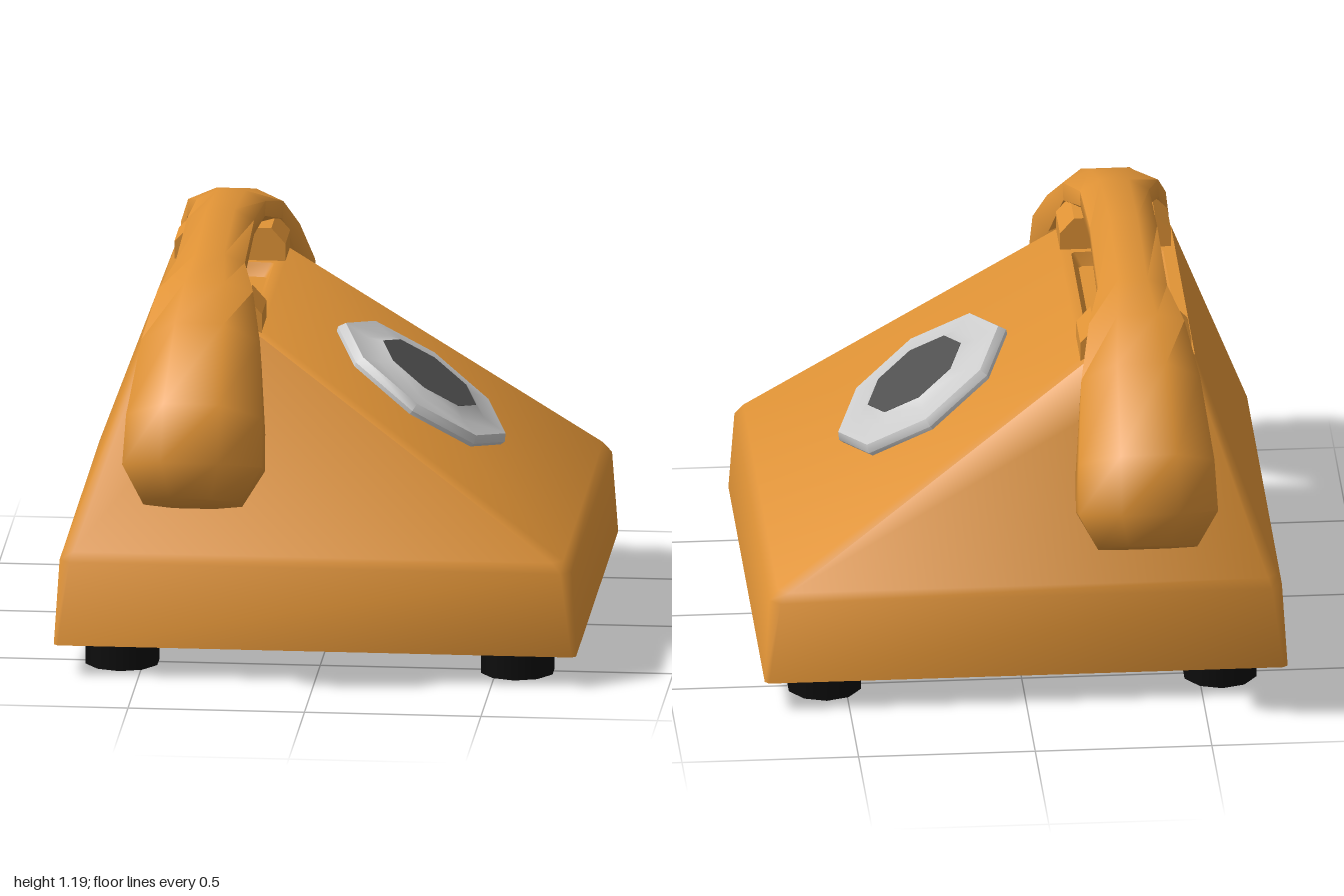
import * as THREE from 'three';
import { toCreasedNormals } from 'three/addons/utils/BufferGeometryUtils.js';

const material = (color) => new THREE.MeshStandardMaterial({ color });
const ORANGE = material(0xe09336);
const GREY = material(0xcccccc);
const DARK = material(0x505050);
const BLACK = material(0x0c0c0c);

// Skin a list of equal-length rings (counter-clockwise seen from the loft's end) and cap both ends.
function loft(rings, crease) {
  const pos = [];
  const tri = (...pts) => pts.forEach((p) => pos.push(p[0], p[1], p[2]));
  const n = rings[0].length;
  for (let i = 0; i < rings.length - 1; i++) {
    for (let j = 0; j < n; j++) {
      const k = (j + 1) % n;
      const a = rings[i][j], b = rings[i][k], c = rings[i + 1][k], d = rings[i + 1][j];
      tri(a, b, c);
      tri(a, c, d);
    }
  }
  const first = rings[0], last = rings[rings.length - 1];
  for (let j = 1; j < n - 1; j++) {
    tri(first[0], first[j + 1], first[j]);
    tri(last[0], last[j], last[j + 1]);
  }
  const geometry = new THREE.BufferGeometry();
  geometry.setAttribute('position', new THREE.Float32BufferAttribute(pos, 3));
  return toCreasedNormals(geometry, crease);
}

function add(parent, name, geometry, mat) {
  const mesh = new THREE.Mesh(geometry, mat);
  mesh.name = name;
  parent.add(mesh);
  return mesh;
}

// Horizontal rectangle with cut corners.
function bodyRing([y, x0, x1, z, c]) {
  return [
    [x1, y, z - c], [x1, y, -z + c], [x1 - c, y, -z], [x0 + c, y, -z],
    [x0, y, -z + c], [x0, y, z - c], [x0 + c, y, z], [x1 - c, y, z],
  ];
}

function buildBody() {
  // y, left x, right x, half depth, corner cut; the last rings form the trough on top
  const levels = [
    [0.09, -0.74, 0.74, 0.68, 0.012],
    [0.33, -0.726, 0.725, 0.67, 0.03],
    [0.36, -0.715, 0.70, 0.662, 0.03],
    [0.96, -0.495, -0.17, 0.46, 0.02],
    [0.96, -0.46, -0.20, 0.28, 0.01],
    [0.92, -0.44, -0.22, 0.27, 0.01],
  ];
  return loft(levels.map(bodyRing), 1.0);
}

const HANDSET_X = -0.327;

function buildHandset() {
  // top z, top y, bottom z, bottom y, half width, from the middle to one end
  const half = [
    [0, 1.19, 0, 1.09, 0.095],
    [0.34, 1.153, 0.30, 1.06, 0.098],
    [0.5, 1.115, 0.44, 1.01, 0.135],
    [0.67, 1.04, 0.54, 0.83, 0.168],
    [0.93, 0.874, 0.65, 0.68, 0.192],
    [1.0, 0.72, 0.72, 0.617, 0.197],
    [0.955, 0.605, 0.85, 0.547, 0.14],
  ];
  const mirrored = half.slice(1).reverse().map(([tz, ty, bz, by, w]) => [-tz, ty, -bz, by, w]);
  const rings = [...mirrored, ...half].map(([tz, ty, bz, by, w]) => {
    const ring = [];
    for (let k = 0; k < 8; k++) {
      const a = ((k + 0.5) * Math.PI) / 4;
      const u = Math.cos(a) / Math.cos(Math.PI / 8);
      const t = 0.5 + (0.5 * Math.sin(a)) / Math.cos(Math.PI / 8);
      ring.push([HANDSET_X + u * w, by + (ty - by) * t, bz + (tz - bz) * t]);
    }
    return ring;
  });
  return loft(rings, 1.1);
}

// Saddle block that carries the handset, with slightly chamfered shoulders.
function buildCradle(side) {
  const shape = new THREE.Shape([
    [-0.485, 0.93], [-0.17, 0.93], [-0.17, 1.01], [-0.21, 1.055],
    [-0.44, 1.055], [-0.485, 1.01],
  ].map(([x, y]) => new THREE.Vector2(x, y)));
  const geometry = new THREE.ExtrudeGeometry(shape, { depth: 0.15, bevelEnabled: false });
  return geometry.translate(0, 0, side > 0 ? 0.30 : -0.45);
}

function buildDial() {
  const dial = new THREE.Group();
  dial.name = 'dial';
  const profile = [[0.275, -0.02], [0.287, 0.012], [0.275, 0.034], [0.2, 0.036], [0.16, 0.053]]
    .map(([r, y]) => new THREE.Vector2(r, y));
  const ring = new THREE.LatheGeometry(profile, 8);
  add(dial, 'dialRing', toCreasedNormals(ring, 0.9), GREY);
  const plate = new THREE.CylinderGeometry(0.16, 0.16, 0.02, 8);
  plate.translate(0, 0.044, 0);
  add(dial, 'dialCentre', plate, DARK);
  // lie on the sloping face
  dial.position.set(0.235, 0.682, 0);
  dial.rotation.z = -Math.atan2(0.60, 0.87);
  return dial;
}

export function createModel() {
  const model = new THREE.Group();
  model.name = 'telephone';

  add(model, 'body', buildBody(), ORANGE);
  add(model, 'handset', buildHandset(), ORANGE);
  for (const side of [-1, 1]) add(model, 'cradle', buildCradle(side), ORANGE);
  model.add(buildDial());

  // feet
  for (const x of [-0.56, 0.56]) {
    for (const z of [-0.505, 0.505]) {
      const foot = add(model, 'foot', new THREE.CylinderGeometry(0.107, 0.107, 0.1, 10), BLACK);
      foot.position.set(x, 0.05, z);
    }
  }
  return model;
}
